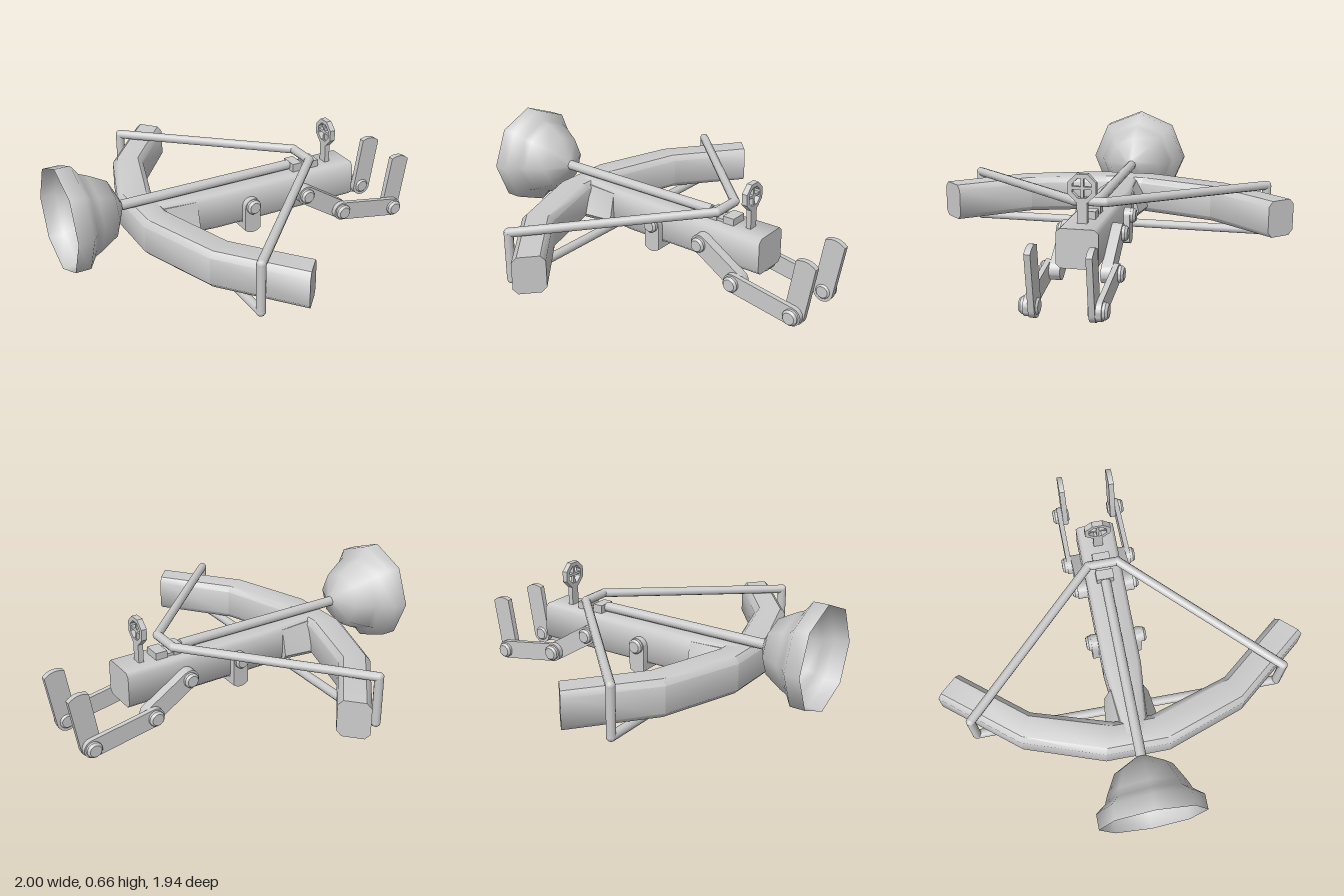
import * as THREE from 'three';
import { toCreasedNormals } from 'three/addons/utils/BufferGeometryUtils.js';

const mat = new THREE.MeshStandardMaterial({ color: 0xcccccc });
const matDouble = new THREE.MeshStandardMaterial({ color: 0xcccccc, side: THREE.DoubleSide });
const V = (x, y, z) => new THREE.Vector3(x, y, z);

function add(parent, name, geometry, material = mat) {
  const mesh = new THREE.Mesh(geometry, material);
  mesh.name = name;
  parent.add(mesh);
  return mesh;
}

function box(parent, name, x0, x1, y0, y1, z0, z1) {
  const g = new THREE.BoxGeometry(x1 - x0, y1 - y0, z1 - z0);
  g.translate((x0 + x1) / 2, (y0 + y1) / 2, (z0 + z1) / 2);
  return add(parent, name, g);
}

// Chamfered rectangle, counter-clockwise
function chamfered(cu, cv, hu, hv, bu, bv) {
  return [[hu, -hv + bv], [hu, hv - bv], [hu - bu, hv], [-hu + bu, hv],
    [-hu, hv - bv], [-hu, -hv + bv], [-hu + bu, -hv], [hu - bu, -hv]]
    .map(([u, v]) => [cu + u, cv + v]);
}

// Capped skin over equal-length rings of points
function loft(rings) {
  const n = rings[0].length, index = [], last = (rings.length - 1) * n;
  for (let i = 0; i < rings.length - 1; i++) {
    for (let j = 0; j < n; j++) {
      const a = i * n + j, b = i * n + (j + 1) % n;
      index.push(a, b, b + n, a, b + n, a + n);
    }
  }
  for (let j = 1; j < n - 1; j++) {
    index.push(0, j + 1, j, last, last + j, last + j + 1);
  }
  const g = new THREE.BufferGeometry();
  g.setAttribute('position', new THREE.Float32BufferAttribute(rings.flat(2), 3));
  g.setIndex(index);
  return toCreasedNormals(g, 0.8);
}

function rod(parent, name, a, b, r, sides = 10) {
  const d = b.clone().sub(a);
  const m = add(parent, name, new THREE.CylinderGeometry(r, r, d.length(), sides));
  m.position.copy(a).addScaledVector(d, 0.5);
  m.quaternion.setFromUnitVectors(V(0, 1, 0), d.normalize());
  return m;
}

// Flat bar in the x-y plane with a round start and a round or gently arched end
function link(parent, name, a, b, r, z0, z1, round = true) {
  const len = Math.hypot(b[0] - a[0], b[1] - a[1]);
  const s = new THREE.Shape();
  s.absarc(0, 0, r, Math.PI / 2, Math.PI * 1.5, false);
  s.lineTo(len, -r);
  if (round) s.absarc(len, 0, r, -Math.PI / 2, Math.PI / 2, false);
  else s.quadraticCurveTo(len + 0.035, 0, len, r);
  s.closePath();
  const g = new THREE.ExtrudeGeometry(s, { depth: Math.abs(z1 - z0), bevelEnabled: false, curveSegments: 8 });
  const m = add(parent, name, toCreasedNormals(g, 0.6));
  m.position.set(a[0], a[1], Math.min(z0, z1));
  m.rotation.z = Math.atan2(b[1] - a[1], b[0] - a[0]);
}

// Bevelled pin lying along z
function pin(parent, name, x, y, z0, z1, r) {
  const h = Math.abs(z1 - z0) / 2;
  const profile = [[0, -h], [r * 0.75, -h], [r, -h + 0.012], [r, h - 0.012], [r * 0.75, h], [0, h]];
  const g = new THREE.LatheGeometry(profile.map(p => new THREE.Vector2(...p)), 14);
  g.rotateX(Math.PI / 2);
  add(parent, name, toCreasedNormals(g, 0.6)).position.set(x, y, (z0 + z1) / 2);
}

export function createModel() {
  const model = new THREE.Group();
  model.name = 'crossbow';

  // Stock: chamfered beam narrowing towards the bow
  const stock = [[-0.54, 0.065], [-0.17, 0.1], [0.655, 0.104]].map(([x, h]) =>
    chamfered(0.262, 0, 0.098, h, 0.02, 0.02).map(([y, z]) => [x, y, z]));
  add(model, 'stock', loft(stock));

  // Flared collar where the stock meets the bow
  const collar = [[-0.5, 0.07, 0.15], [-0.29, 0.085, 0.12]].map(([x, top, low]) =>
    [[0.345, -top], [0.345, top], [0.2, low], [0.175, low - 0.02], [0.175, 0.02 - low], [0.2, -low]]
      .map(([y, z]) => [x, y, z]));
  add(model, 'bowCollar', loft(collar));

  // Bow: outer and inner edge at each station, mirrored across z
  const half = [[-0.17, 0.972, -0.06, 0.85], [-0.48, 0.588, -0.33, 0.515], [-0.625, 0.17, -0.46, 0.1]];
  const stations = [...half.map(([a, b, c, d]) => [a, -b, c, -d]), ...half.slice().reverse()];
  add(model, 'bow', loft(stations.map(([xo, zo, xi, zi]) =>
    chamfered(0.5, 0.262, 0.5, 0.098, 0.16, 0.028)
      .map(([t, y]) => [xo + (xi - xo) * t, y, zo + (zi - zo) * t]))));

  // Bowstring: closed loop over the bow tips and under the stock
  const cord = new THREE.Group();
  cord.name = 'bowstring';
  model.add(cord);
  const side = [V(-0.337, 0.13, 0.82), V(-0.337, 0.385, 0.82), V(0.385, 0.428, 0.08)];
  const loop = [...side, ...side.slice().reverse().map(p => V(p.x, p.y, -p.z))];
  loop.forEach((p, i) => {
    rod(cord, 'stringSegment', p, loop[(i + 1) % loop.length], 0.024);
    add(cord, 'stringCorner', new THREE.SphereGeometry(0.0245, 10, 8)).position.copy(p);
  });

  // Arrow with a hollow eight-sided cup head
  rod(model, 'arrowShaft', V(-0.72, 0.388, 0), V(0.3, 0.388, 0), 0.027, 10);
  const cup = [[0, 0.03], [0.035, 0.02], [0.15, -0.04], [0.205, -0.14], [0.222, -0.18], [0.275, -0.22], [0.275, -0.3]];
  const cupGeo = new THREE.LatheGeometry(cup.map(([r, y]) => new THREE.Vector2(r, y)), 8);
  cupGeo.rotateZ(-Math.PI / 2);
  cupGeo.rotateX(Math.PI / 2);
  add(model, 'arrowCup', cupGeo, matDouble).position.set(-0.7, 0.388, 0);

  // Catch holding the string
  box(model, 'catchBase', 0.305, 0.465, 0.35, 0.375, -0.04, 0.04);
  box(model, 'catchFront', 0.305, 0.36, 0.36, 0.405, -0.047, 0.047);
  box(model, 'catchRear', 0.4, 0.465, 0.36, 0.398, -0.047, 0.047);

  // Sight: octagonal ring with cross hairs on a stem
  const sight = new THREE.Group();
  sight.name = 'sight';
  sight.position.set(0.538, 0.532, 0);
  model.add(sight);
  const ring = new THREE.Shape(), hole = new THREE.Path();
  for (let i = 0; i < 8; i++) {
    const a = (i + 0.5) * Math.PI / 4, c = Math.cos(a), s = Math.sin(a);
    i ? ring.lineTo(c * 0.075, s * 0.075) : ring.moveTo(c * 0.075, s * 0.075);
    i ? hole.lineTo(c * 0.052, s * 0.052) : hole.moveTo(c * 0.052, s * 0.052);
  }
  ring.holes.push(hole);
  const ringGeo = new THREE.ExtrudeGeometry(ring, { depth: 0.03, bevelEnabled: false });
  ringGeo.translate(0, 0, -0.015);
  ringGeo.rotateY(Math.PI / 2);
  add(sight, 'sightRing', ringGeo);
  box(sight, 'crossHairVertical', -0.01, 0.01, -0.06, 0.06, -0.007, 0.007);
  box(sight, 'crossHairLevel', -0.01, 0.01, -0.007, 0.007, -0.06, 0.06);
  box(sight, 'sightStem', -0.014, 0.014, -0.18, -0.06, -0.025, 0.025);

  // Stirrup strap wrapped under the stock
  box(model, 'strapBottom', -0.035, 0.055, 0.132, 0.168, -0.13, 0.13);

  for (const s of [1, -1]) {
    link(model, 'strapSide', [0.01, 0.265], [0.01, 0.132], 0.045, s * 0.1, s * 0.135, false);
    pin(model, 'strapPin', 0.01, 0.268, s * 0.1, s * 0.162, 0.04);

    // Folding crank arm: three links joined by pins
    const hip = [0.33, 0.26], knee = [0.55, 0.12], ankle = [0.897, 0.058];
    const arm = new THREE.Group();
    arm.name = s > 0 ? 'frontCrankArm' : 'backCrankArm';
    model.add(arm);
    link(arm, 'upperLink', hip, knee, 0.05, s * 0.1, s * 0.155);
    link(arm, 'lowerLink', knee, ankle, 0.05, s * 0.155, s * 0.182);
    link(arm, 'handle', ankle, [0.945, 0.34], 0.055, s * 0.125, s * 0.155, false);
    pin(arm, 'upperPin', ...hip, s * 0.1, s * 0.182, 0.04);
    pin(arm, 'middlePin', ...knee, s * 0.135, s * 0.208, 0.042);
    pin(arm, 'lowerPin', ...ankle, s * 0.115, s * 0.208, 0.042);
  }
  return model;
}
